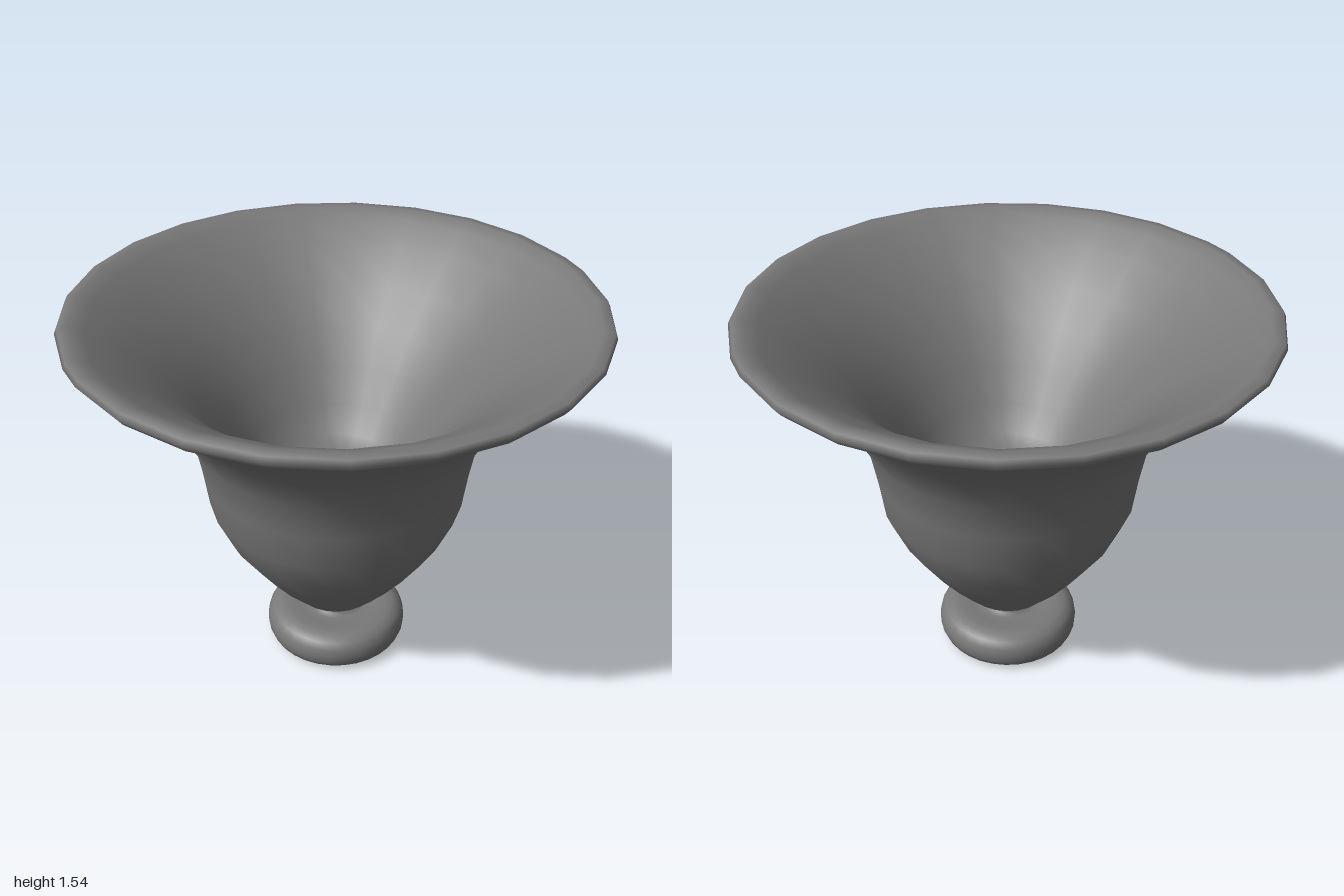
import * as THREE from 'three';

const material = new THREE.MeshStandardMaterial({ color: 0x797979, side: THREE.DoubleSide });
const toPoints = (list) => list.map(([r, y]) => new THREE.Vector2(r, y));

// Angles (degrees) of the bowl's facets: two 15 degree runs, half a step apart
function facetAngles() {
  const angles = [];
  for (let a = -97.5; a <= 67.5; a += 15) angles.push(a);
  for (let a = 75; a <= 255; a += 15) angles.push(a);
  angles.push(262.5);
  return angles;
}

// Lathe whose columns are turned to the given angles
function facetedLathe(points, angles) {
  const segments = angles.length - 1;
  const geometry = new THREE.LatheGeometry(points, segments);
  const up = new THREE.Vector3(0, 1, 0);
  const v = new THREE.Vector3();
  const { position, normal } = geometry.attributes;
  for (let i = 0; i < position.count; i++) {
    const column = Math.floor(i / points.length);
    const turn = THREE.MathUtils.degToRad(angles[column] + 90) - (column / segments) * Math.PI * 2;
    for (const attribute of [position, normal]) {
      v.fromBufferAttribute(attribute, i).applyAxisAngle(up, turn);
      attribute.setXYZ(i, v.x, v.y, v.z);
    }
  }
  return geometry;
}

export function createModel() {
  const group = new THREE.Group();
  const add = (name, geometry) => {
    const mesh = new THREE.Mesh(geometry, material);
    mesh.name = name;
    group.add(mesh);
  };

  // Flared bowl: outer wall from the neck up, round the lip, down the funnel to the inner floor
  const bowlProfile = toPoints([
    [0.09, 0.14], [0.1, 0.175], [0.18, 0.235], [0.27, 0.335], [0.35, 0.44], [0.44, 0.575],
    [0.505, 0.725], [0.525, 0.88], [0.552, 1.035], [0.64, 1.195], [0.76, 1.335],
    [0.88, 1.425], [0.98, 1.495], [1.0, 1.522], [0.99, 1.542], [0.95, 1.545],
    [0.9, 1.518], [0.8, 1.455], [0.65, 1.335], [0.52, 1.195], [0.42, 1.065],
    [0.33, 0.935], [0.25, 0.835], [0.17, 0.79], [0, 0.77],
  ]);
  add('bowl', facetedLathe(bowlProfile, facetAngles()));

  // Rounded foot with a flat underside and a slight dip around the neck
  const footProfile = toPoints([
    [0, 0], [0.225, 0], [0.235, 0.003], [0.262, 0.01], [0.28, 0.025], [0.29, 0.05],
    [0.292, 0.08], [0.286, 0.112], [0.268, 0.138], [0.24, 0.152], [0.205, 0.156],
    [0.16, 0.15], [0.12, 0.145], [0.1, 0.155], [0.098, 0.17], [0.105, 0.18],
  ]);
  add('foot', new THREE.LatheGeometry(footProfile, 32));

  return group;
}
